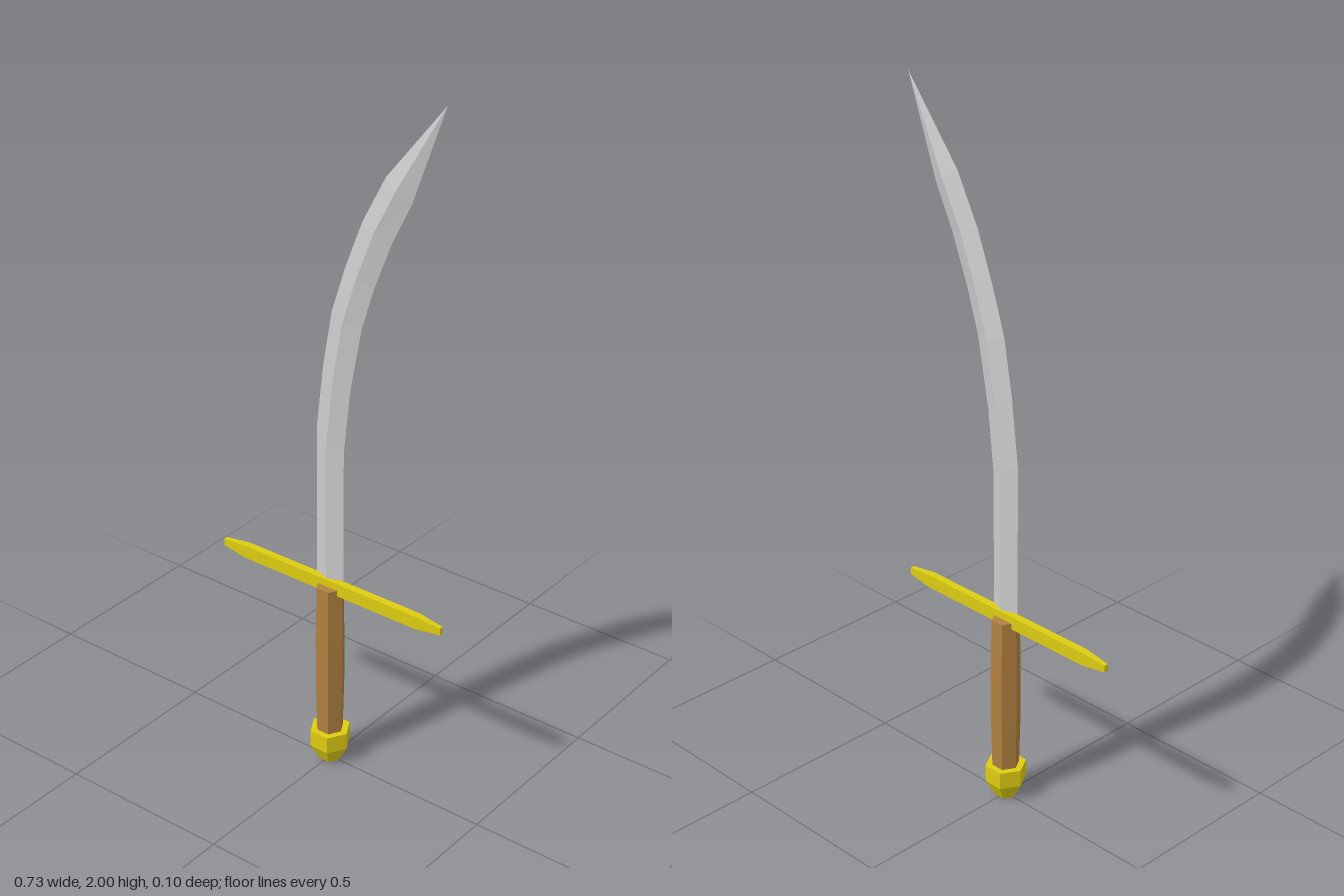
import * as THREE from 'three';

const material = (color) => new THREE.MeshStandardMaterial({ color, flatShading: true });

// Joins four-cornered rings (counter-clockwise seen from the far end) and caps both ends.
function loft(rings) {
  const index = [];
  for (let r = 0; r < rings.length - 1; r++) {
    for (let i = 0; i < 4; i++) {
      const a = r * 4 + i, b = r * 4 + (i + 1) % 4;
      index.push(a, b, b + 4, a, b + 4, a + 4);
    }
  }
  const e = (rings.length - 1) * 4;
  index.push(0, 2, 1, 0, 3, 2, e, e + 1, e + 2, e, e + 2, e + 3);
  const geometry = new THREE.BufferGeometry();
  geometry.setAttribute('position', new THREE.Float32BufferAttribute(rings.flat(2), 3));
  geometry.setIndex(index);
  const flat = geometry.toNonIndexed();
  flat.computeVertexNormals();
  return flat;
}

// Six-sided turned part with corners on the x axis.
function hexTurned(profile) {
  const points = profile.map(([r, y]) => new THREE.Vector2(r, y));
  return new THREE.LatheGeometry(points, 6).rotateY(Math.PI / 6);
}

export function createModel() {
  const group = new THREE.Group();
  const gold = material(0xddcc11);
  const add = (name, geometry, mat) => {
    const mesh = new THREE.Mesh(geometry, mat);
    mesh.name = name;
    group.add(mesh);
  };

  // Curved blade: back edge x, y and cutting edge x, y of each diamond section
  const edges = [
    [-0.045, 0.593, 0.045, 0.593],
    [-0.044, 1.03, 0.045, 0.98],
    [-0.022, 1.22, 0.064, 1.16],
    [0.005, 1.376, 0.1, 1.354],
    [0.048, 1.51, 0.138, 1.476],
    [0.1, 1.646, 0.19, 1.61],
    [0.17, 1.78, 0.249, 1.73],
    [0.345, 2.0, 0.345, 2.0],
  ];
  add('blade', loft(edges.map(([x1, y1, x2, y2], i) => {
    const x = (x1 + x2) / 2, y = (y1 + y2) / 2;
    const t = i === edges.length - 1 ? 0 : 0.017;
    return [[x1, y1, 0], [x, y, t], [x2, y2, 0], [x, y, -t]];
  })), material(0xcccccc));

  // Crossguard: a thin bar with tapered ends
  const bar = [[-0.367, 0.01, 0.006], [-0.29, 0.019, 0.011], [0.29, 0.019, 0.011], [0.367, 0.01, 0.006]];
  const gy = 0.564;
  add('crossguard', loft(bar.map(([x, h, d]) =>
    [[x, gy + h, d], [x, gy - h, d], [x, gy - h, -d], [x, gy + h, -d]])), gold);

  // Grip with a slight swell
  add('grip', hexTurned([[0, 0.095], [0.038, 0.095], [0.042, 0.25], [0.042, 0.4], [0.039, 0.562], [0, 0.562]]),
    material(0xb08040));

  // Pommel tapering to a blunt foot
  add('pommel', hexTurned([[0, 0], [0.03, 0], [0.058, 0.05], [0.058, 0.1], [0, 0.1]]), gold);

  return group;
}
